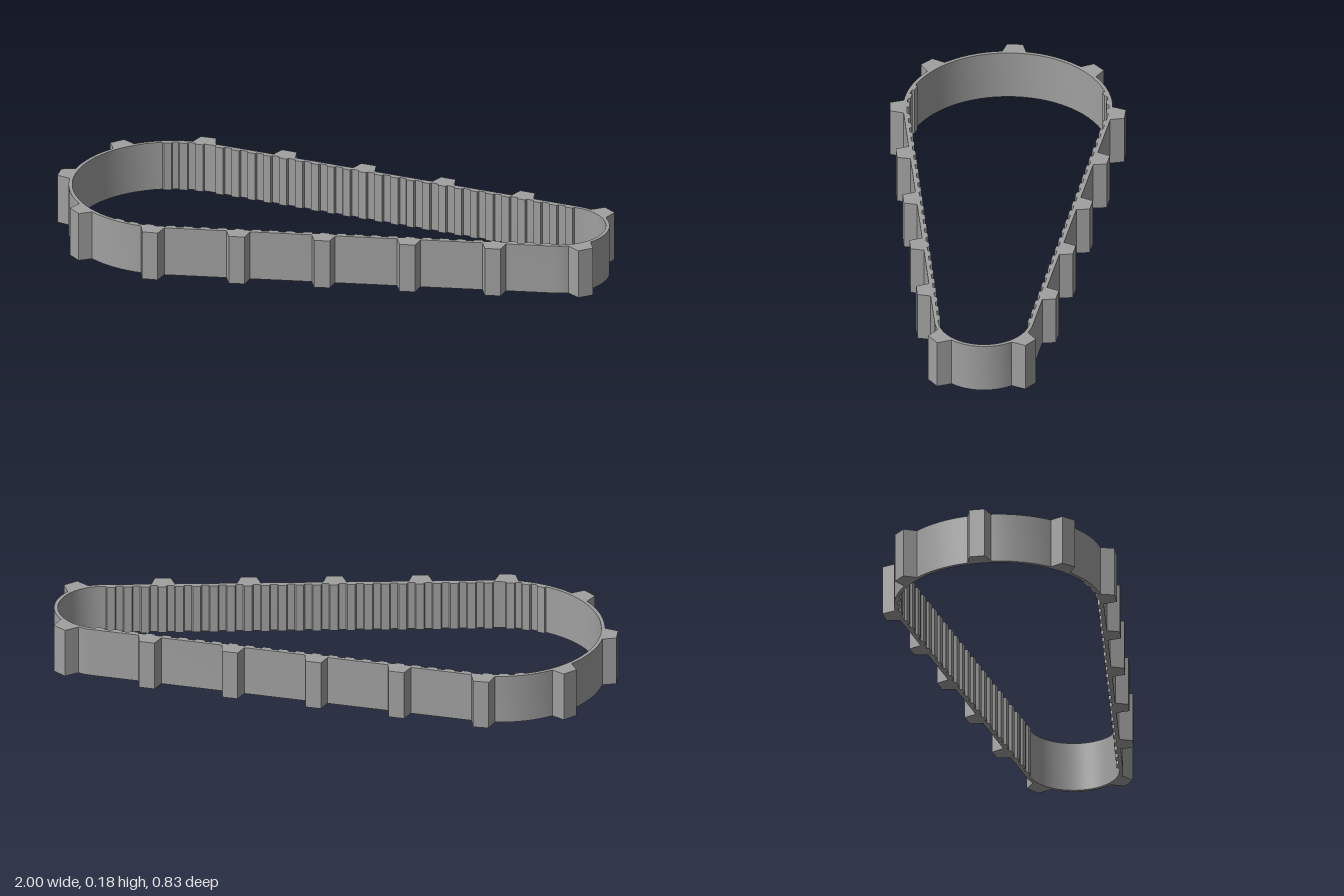
import * as THREE from 'three';
import { toCreasedNormals } from 'three/addons/utils/BufferGeometryUtils.js';

const HEIGHT = 0.182;
const BIG = { x: -0.583, r: 0.37 };
const SMALL = { x: 0.825, r: 0.175 };
const THICK = 0.013;
// Tilt of the straight runs between the two round ends
const TILT = Math.asin((BIG.r - SMALL.r) / (SMALL.x - BIG.x));

// Closed loop around both round ends, moved inward by inset
function loopPoints(inset) {
  const pts = [];
  const a = Math.PI / 2 - TILT;
  const arc = (c, from, to, n) => {
    for (let i = 0; i <= n; i++) {
      const t = from + ((to - from) * i) / n;
      pts.push(new THREE.Vector2(c.x + (c.r - inset) * Math.cos(t), (c.r - inset) * Math.sin(t)));
    }
  };
  arc(SMALL, -a, a, 28);
  arc(BIG, a, 2 * Math.PI - a, 40);
  return pts;
}

// Stands a plan outline up to the full belt height
function standUp(shape) {
  const geo = new THREE.ExtrudeGeometry(shape, { depth: HEIGHT, bevelEnabled: false });
  geo.rotateX(-Math.PI / 2);
  return toCreasedNormals(geo, 0.4);
}

// Four-sided block whose outline runs outward along +x
function blockGeometry(inner, outer, innerHalf, outerHalf) {
  return standUp(new THREE.Shape([
    new THREE.Vector2(inner, -innerHalf), new THREE.Vector2(outer, -outerHalf),
    new THREE.Vector2(outer, outerHalf), new THREE.Vector2(inner, innerHalf),
  ]));
}

export function createModel() {
  const group = new THREE.Group();
  const rubber = new THREE.MeshStandardMaterial({ color: 0xa0a0a0 });
  rubber.name = 'greyRubber';

  // Thin band
  const outline = new THREE.Shape(loopPoints(0));
  outline.holes.push(new THREE.Path(loopPoints(THICK)));
  const band = new THREE.Mesh(standUp(outline), rubber);
  band.name = 'beltBand';
  group.add(band);

  // Places a block at plan position (x, z), its outward side facing the angle
  const place = (geo, name, x, z, angle) => {
    const mesh = new THREE.Mesh(geo, rubber);
    mesh.name = name;
    mesh.position.set(x, 0, z);
    mesh.rotation.y = -angle;
    group.add(mesh);
  };
  const onArc = (geo, name, c, angle) =>
    place(geo, name, c.x + c.r * Math.cos(angle), c.r * Math.sin(angle), angle);
  const onRun = (geo, name, x, side) => {
    const z = (BIG.r - (x - BIG.x) * Math.sin(TILT)) / Math.cos(TILT);
    place(geo, name, x, side * z, side * (Math.PI / 2 - TILT));
  };

  const lug = blockGeometry(-0.012, 0.046, 0.045, 0.028);
  const tooth = blockGeometry(-0.022, -0.006, 0.014, 0.021);

  // Lug at the wide end
  onArc(lug, 'outerLug', BIG, Math.PI);
  for (const side of [1, -1]) {
    // Lugs around the curves
    onArc(lug, 'outerLug', BIG, side * 2.32);
    onArc(lug, 'outerLug', BIG, side * 1.52);
    onArc(lug, 'outerLug', SMALL, side * 0.9);
    // Lugs along the straight runs
    for (let i = 0; i < 4; i++) onRun(lug, 'outerLug', -0.263 + 0.3 * i, side);
    // Gripping teeth inside the straight runs and the start of the wide curve
    for (let i = 0; i < 23; i++) onRun(tooth, 'innerTooth', -0.5 + 0.06 * i, side);
    for (let i = 0; i < 3; i++) onArc(tooth, 'innerTooth', BIG, side * (1.56 + 0.16 * i));
  }
  return group;
}
